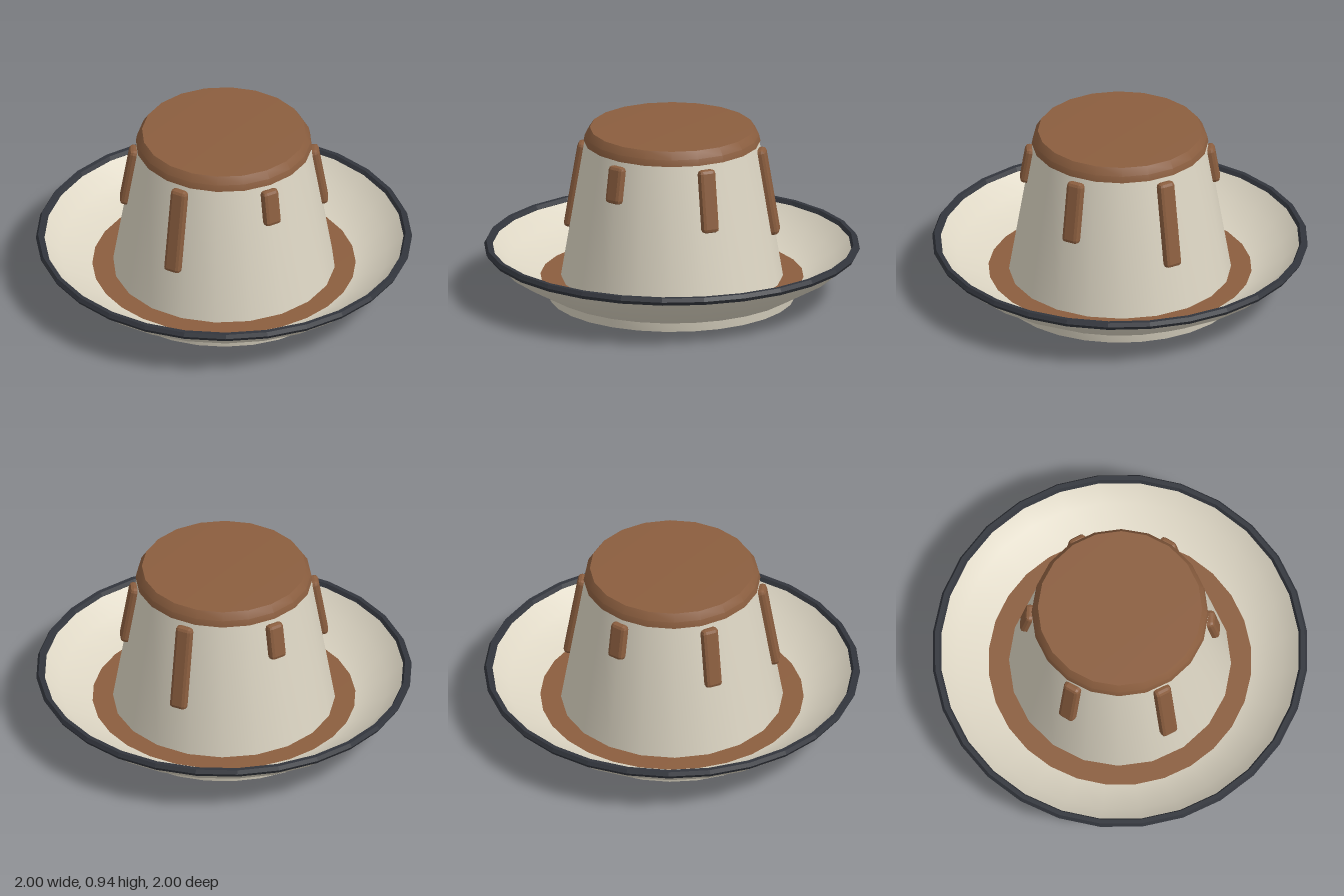
import * as THREE from 'three';
import { toCreasedNormals } from 'three/addons/utils/BufferGeometryUtils.js';
import { RoundedBoxGeometry } from 'three/addons/geometries/RoundedBoxGeometry.js';

const cream = new THREE.MeshStandardMaterial({ color: 0xdcd5c3 });
const caramel = new THREE.MeshStandardMaterial({ color: 0x8b5e3f });
const caramelFlat = new THREE.MeshStandardMaterial({ color: 0x8b5e3f, flatShading: true });
const dark = new THREE.MeshStandardMaterial({ color: 0x32353c, flatShading: true });

const POOL_Y = 0.11;
const SLOPE = 0.167; // how much the pudding narrows per unit of height
const bodyRadius = (y) => 0.465 + (0.86 - y) * SLOPE;

// Turned part: profile of [radius, y] pairs, listed from the bottom outwards and up
function turned(name, profile, sides, material) {
  const points = profile.map(([r, y]) => new THREE.Vector2(r, y));
  const geometry = toCreasedNormals(new THREE.LatheGeometry(points, sides), 0.45);
  const mesh = new THREE.Mesh(geometry, material);
  mesh.name = name;
  return mesh;
}

// Caramel drip lying on the sloped side, from the cap down to bottomY
function drip(angle, bottomY) {
  const topY = 0.835;
  const lean = Math.atan(SLOPE);
  const midY = (topY + bottomY) / 2;
  const length = (topY - bottomY) / Math.cos(lean);
  const mesh = new THREE.Mesh(new RoundedBoxGeometry(0.095, length, 0.06, 1, 0.02), caramelFlat);
  mesh.position.set(0, midY, bodyRadius(midY) + 0.002);
  mesh.rotation.x = -lean;
  const pivot = new THREE.Group();
  pivot.name = 'drip';
  pivot.rotation.y = Math.PI / 2 - angle;
  pivot.add(mesh);
  return pivot;
}

export function createModel() {
  const model = new THREE.Group();
  model.name = 'puddingOnPlate';

  // Plate with a recessed foot ring and a flared bowl
  model.add(turned('plate', [
    [0, 0.045], [0.6, 0.045], [0.62, 0], [0.655, 0], [0.665, 0.055],
    [0.68, 0.055], [0.9, 0.18], [0.98, 0.26],
    [0.96, 0.275], [0.87, 0.19], [0.68, 0.1], [0, 0.09],
  ], 28, cream));

  // Dark band round the lip
  const rim = new THREE.Mesh(new THREE.TorusGeometry(0.977, 0.023, 6, 28), dark);
  rim.name = 'rim';
  rim.rotation.set(-Math.PI / 2, 0, 0);
  rim.position.y = 0.272;
  model.add(rim);

  // Caramel pool, pudding and caramel cap
  model.add(turned('caramelPool', [[0.68, 0.095], [0.7, POOL_Y], [0, POOL_Y + 0.001]], 28, caramel));
  model.add(turned('pudding', [[bodyRadius(0.1), 0.1], [bodyRadius(0.86), 0.86], [0, 0.87]], 20, cream));
  model.add(turned('caramelCap', [
    [0.44, 0.86], [0.47, 0.86], [0.463, 0.895], [0.437, 0.935], [0, 0.94],
  ], 20, caramel));

  // Six drips in opposite pairs
  const bottoms = [0.5, 0.635, 0.365];
  for (let i = 0; i < 6; i++) {
    model.add(drip(THREE.MathUtils.degToRad(13 + i * 60), bottoms[i % 3]));
  }
  return model;
}
